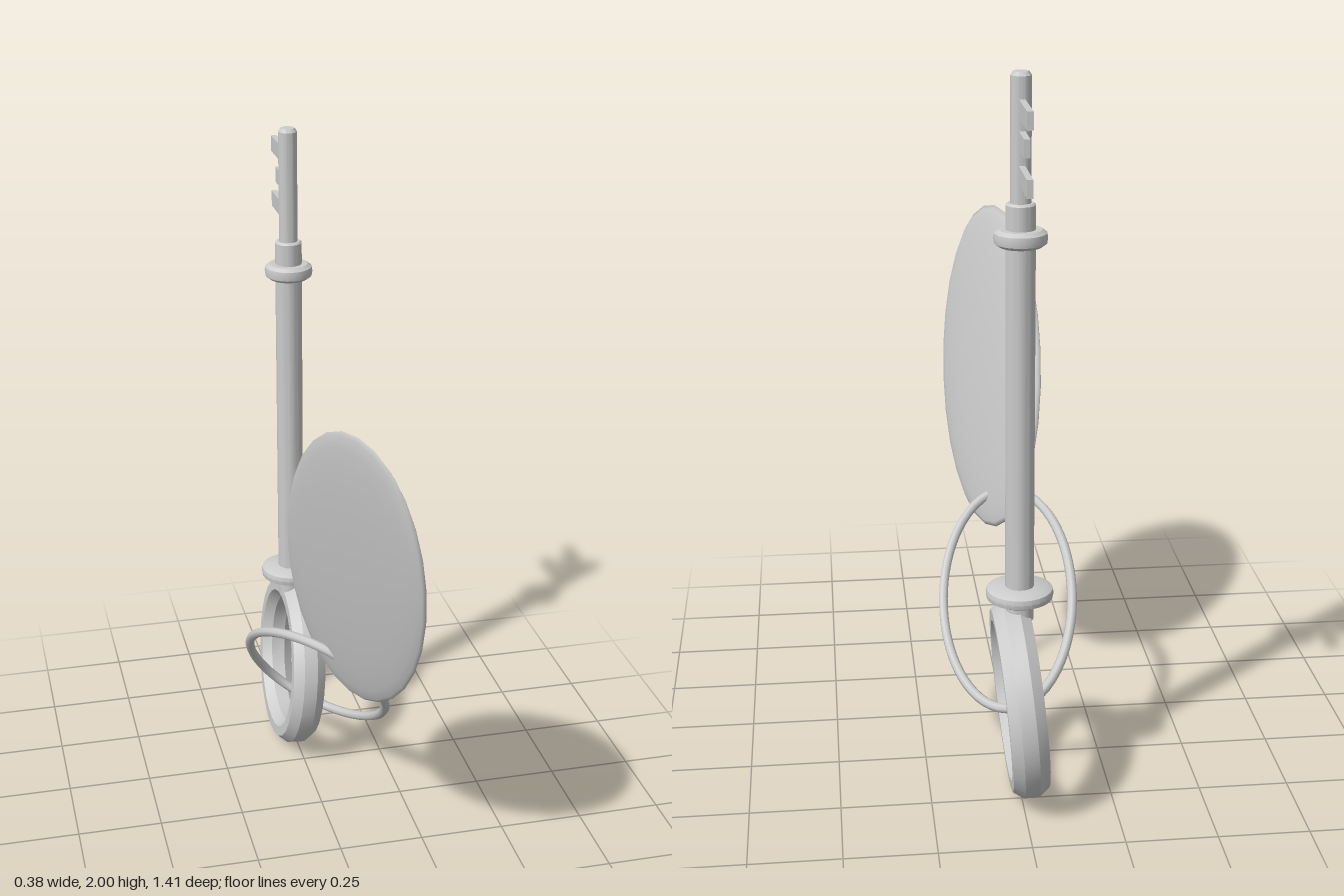
import * as THREE from 'three';
import { toCreasedNormals } from 'three/addons/utils/BufferGeometryUtils.js';

export function createModel() {
  const model = new THREE.Group();
  const material = new THREE.MeshStandardMaterial({ color: 0xcccccc });
  const keyZ = -0.43;

  const add = (name, geometry, x = 0, y = 0, z = 0, parent = model) => {
    const mesh = new THREE.Mesh(geometry, material);
    mesh.name = name;
    mesh.position.set(x, y, z);
    parent.add(mesh);
    return mesh;
  };
  // Turned part from [radius, height] points, with crisp profile edges
  const turned = (points, sides = 24) => toCreasedNormals(
    new THREE.LatheGeometry(points.map(([r, y]) => new THREE.Vector2(r, y)), sides), 0.5);

  const key = new THREE.Group();
  key.name = 'key';
  key.position.z = keyZ;
  model.add(key);

  // Shaft, tip and collars
  add('neck', turned([[0, 0.52], [0.038, 0.52], [0.038, 0.59], [0, 0.59]]), 0, 0, 0, key);
  add('shaft', turned([[0, 0.58], [0.039, 0.58], [0.039, 1.665], [0.034, 1.67], [0, 1.67]]), 0, 0, 0, key);
  add('tip', turned([[0, 1.65], [0.027, 1.65], [0.027, 1.99], [0.02, 2], [0, 2]]), 0, 0, 0, key);
  const collar = (name, y, r, h) => add(name, turned([
    [0, -h], [r * 0.8, -h], [r * 0.97, -h * 0.6], [r, 0],
    [r * 0.97, h * 0.6], [r * 0.8, h], [0, h],
  ]), 0, y, 0, key);
  collar('lowerCollar', 0.597, 0.092, 0.021);
  collar('upperCollar', 1.58, 0.07, 0.022);

  // Teeth
  [[1.91, 0.195], [1.832, 0.135], [1.745, 0.195]].forEach(([y, length], i) =>
    add('tooth' + (i + 1), new THREE.BoxGeometry(0.016, 0.046, length), 0, y, -length / 2, key));

  // Bow: ring with an eight-sided section, leaning slightly sideways
  const section = [];
  for (let i = 0; i <= 8; i++) {
    const a = (i - 0.5) * Math.PI / 4;
    section.push([0.2365 + 0.04 * Math.cos(a), 0.054 * Math.sin(a)]);
  }
  const bow = add('bow', turned(section, 28), 0, 0.277, 0, key);
  bow.rotation.z = -Math.PI / 2 - 0.085;

  // Oval link between the bow and the tag
  const center = new THREE.Vector3(-0.002, 0.418, -0.068);
  const longAxis = new THREE.Vector3(0.02, 0.206, 0.287);
  const shortAxis = new THREE.Vector3(-0.174, 0.121, -0.074);
  const loop = [];
  for (let i = 0; i < 32; i++) {
    const a = i / 32 * Math.PI * 2;
    loop.push(center.clone().addScaledVector(longAxis, Math.cos(a)).addScaledVector(shortAxis, Math.sin(a)));
  }
  add('link', new THREE.TubeGeometry(new THREE.CatmullRomCurve3(loop, true), 64, 0.014, 8, true));

  // Tag: thin lens-shaped oval
  const along = new THREE.Vector3(-0.007, 0.9, 0.436).normalize();
  const across = new THREE.Vector3(-0.408, 0.4, -0.82);
  const normal = across.cross(along).normalize();
  const side = along.clone().cross(normal);
  const tagGeometry = new THREE.SphereGeometry(1, 28, 14);
  tagGeometry.scale(0.495, 0.03, 0.3);
  const tag = add('tag', tagGeometry, 0, 0.987, 0.377);
  tag.quaternion.setFromRotationMatrix(new THREE.Matrix4().makeBasis(along, normal, side));

  return model;
}
